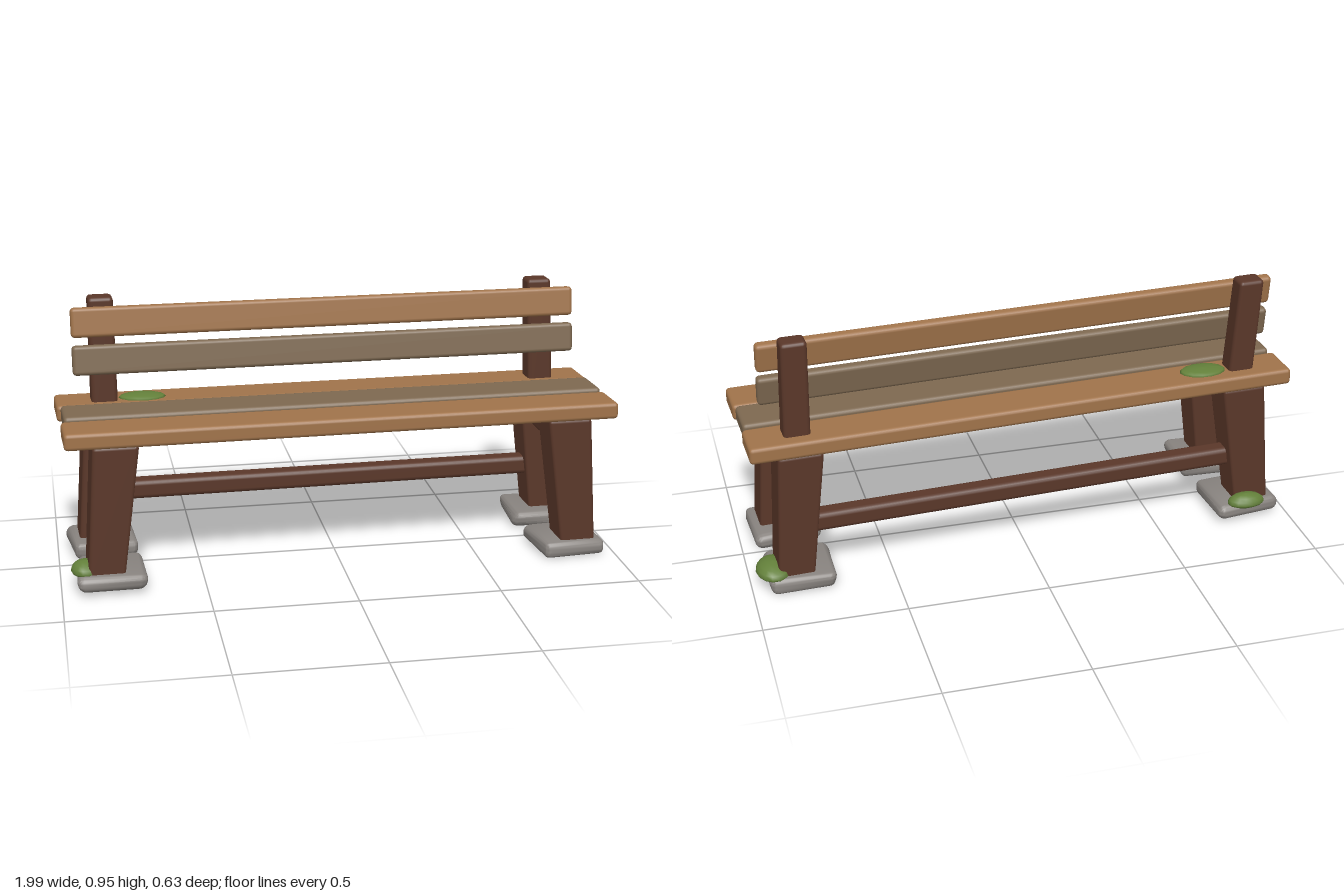
import * as THREE from 'three';
import { RoundedBoxGeometry } from 'three/addons/geometries/RoundedBoxGeometry.js';
import { mergeVertices, toCreasedNormals } from 'three/addons/utils/BufferGeometryUtils.js';

const material = (name, color) => {
  const m = new THREE.MeshStandardMaterial({ color });
  m.name = name;
  return m;
};

export function createModel() {
  const darkWood = material('darkWood', 0x5a3729);
  const lightWood = material('lightWood', 0xa0734a);
  const greyWood = material('greyWood', 0x7d6850);
  const stone = material('stone', 0x88837f);
  const moss = material('moss', 0x63803a);

  const model = new THREE.Group();
  model.name = 'bench';
  const bench = new THREE.Group();
  bench.name = 'benchBody';
  bench.rotation.set(0, 0.04, -0.008); // slightly crooked stance
  model.add(bench);

  const add = (name, geometry, mat, x, y, z) => {
    const mesh = new THREE.Mesh(geometry, mat);
    mesh.name = name;
    mesh.position.set(x, y, z);
    bench.add(mesh);
    return mesh;
  };
  const box = (w, h, d, r = 0.014) => new RoundedBoxGeometry(w, h, d, 2, r);

  // Timber of height h whose foot is scaled and shifted relative to its top
  const taperedBox = (w, h, d, footX, footZ, shiftX, shiftZ) => {
    const g = box(w, h, d);
    const p = g.attributes.position;
    for (let i = 0; i < p.count; i++) {
      const t = 0.5 - p.getY(i) / h; // 0 at the top, 1 at the foot
      p.setX(i, p.getX(i) * (1 + (footX - 1) * t) + shiftX * t);
      p.setZ(i, p.getZ(i) * (1 + (footZ - 1) * t) + shiftZ * t);
    }
    return g;
  };

  // Worn slab with a gently uneven outline
  const slab = (seed) => {
    let g = new RoundedBoxGeometry(0.235, 0.058, 0.235, 3, 0.024);
    g.deleteAttribute('normal');
    g.deleteAttribute('uv');
    g = mergeVertices(g, 1e-4);
    const p = g.attributes.position;
    for (let i = 0; i < p.count; i++) {
      const x = p.getX(i), y = p.getY(i), z = p.getZ(i);
      p.setX(i, x * (1 + 0.04 * Math.sin(z * 17 + y * 60 + seed)));
      p.setZ(i, z * (1 + 0.04 * Math.sin(x * 19 + y * 50 + seed * 2)));
    }
    return toCreasedNormals(g, 0.6);
  };

  // Seat planks
  add('frontSeatPlank', box(1.97, 0.06, 0.158), lightWood, 0, 0.545, 0.174);
  add('middleSeatPlank', box(1.95, 0.06, 0.16), greyWood, 0.003, 0.553, 0.004);
  add('rearSeatPlank', box(1.97, 0.06, 0.16), lightWood, 0, 0.545, -0.165);

  // Backrest rails
  const upper = add('upperBackRail', box(1.85, 0.106, 0.04), lightWood, 0.003, 0.861, -0.142);
  const lower = add('lowerBackRail', box(1.85, 0.106, 0.04), greyWood, 0.003, 0.729, -0.12);
  upper.rotation.x = lower.rotation.x = -0.14;

  // Stretcher between the rear legs
  add('stretcher', box(1.62, 0.07, 0.07, 0.018), darkWood, 0, 0.227, -0.165);

  for (const side of [-1, 1]) {
    const label = side > 0 ? 'left' : 'right';
    // Legs and foot slabs
    for (const end of [1, -1]) {
      const place = label + (end > 0 ? 'Front' : 'Rear');
      add(place + 'Leg', taperedBox(0.16, 0.47, 0.148, 0.8, 0.9, side * 0.045, end * 0.02),
        darkWood, side * 0.81, 0.285, end * 0.163 + 0.004);
      const foot = add(place + 'FootStone', slab(side * 2 + end), stone,
        side * 0.832, 0.036, end * 0.162 + 0.003);
      foot.rotation.y = side * end * 0.05;
    }
    // Beam under the seat
    add(label + 'SeatBeam', box(0.09, 0.1, 0.26), darkWood, side * 0.805, 0.465, 0.01);
    // Leaning back post
    add(label + 'BackPost', taperedBox(0.09, 0.41, 0.076, 1.04, 1.1, 0, 0.06),
      darkWood, side * 0.812, 0.735, -0.207);
  }

  // Moss clumps: domed on top, shallow underneath
  const clump = (name, x, y, z, rx, top, bottom, rz) => {
    const g = new THREE.SphereGeometry(1, 14, 8);
    const p = g.attributes.position;
    for (let i = 0; i < p.count; i++) {
      const py = p.getY(i);
      p.setXYZ(i, p.getX(i) * rx, py * (py > 0 ? top : bottom), p.getZ(i) * rz);
    }
    g.computeVertexNormals();
    const mesh = add(name, g, moss, x, y, z);
    mesh.rotation.y = -0.04;
  };
  clump('leftRearMoss', 0.928, 0.068, -0.188, 0.062, 0.036, 0.02, 0.082);
  clump('rightRearMoss', -0.822, 0.07, -0.27, 0.07, 0.034, 0.02, 0.042);
  clump('rightFrontMoss', -0.925, 0.068, 0.2, 0.05, 0.036, 0.02, 0.06);
  clump('seatMoss', -0.675, 0.575, -0.155, 0.085, 0.015, 0.008, 0.054);

  return model;
}
